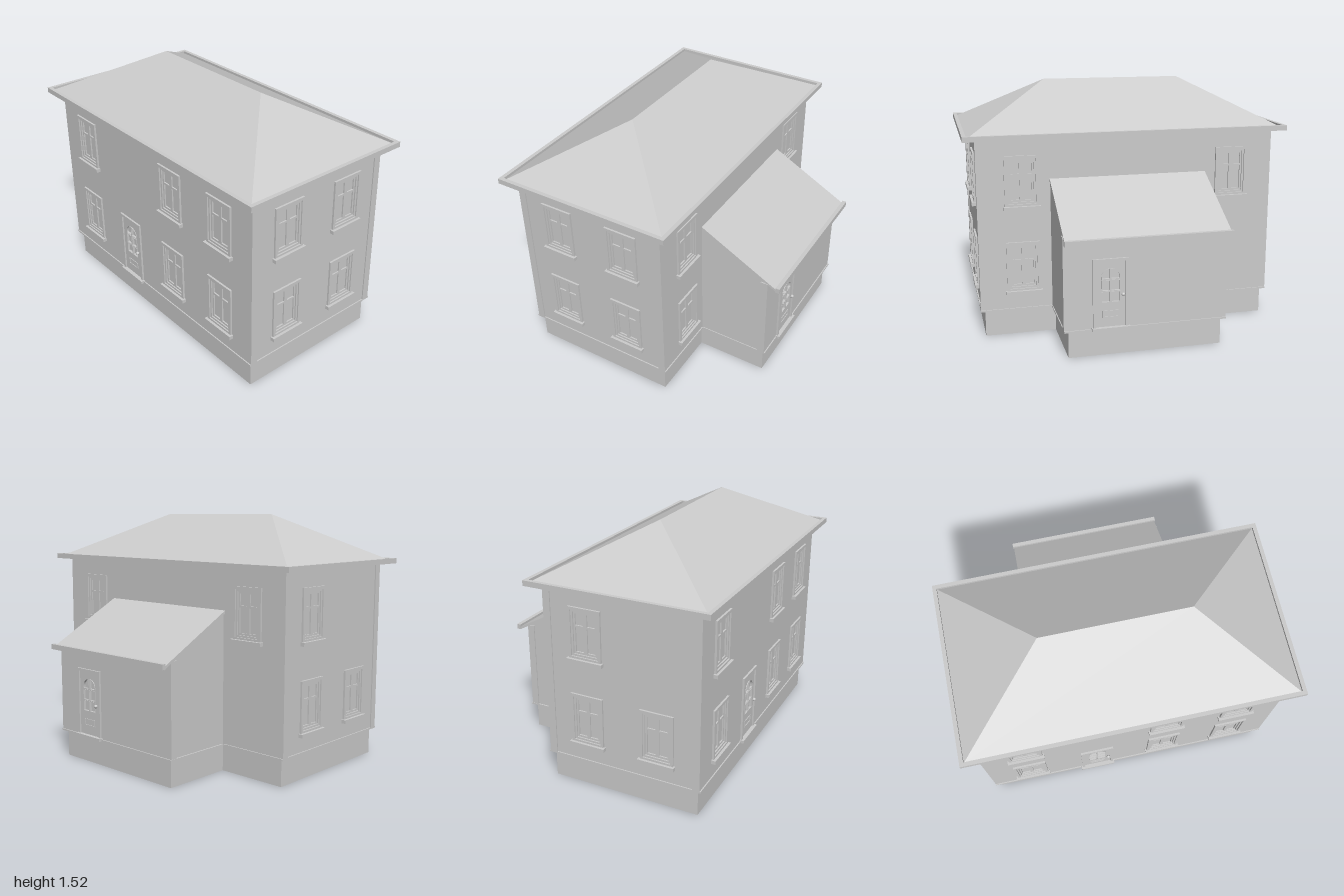
import * as THREE from 'three';

const mat = new THREE.MeshStandardMaterial({ color: 0xcccccc, flatShading: true, side: THREE.DoubleSide });

function add(parent, name, geometry, x = 0, y = 0, z = 0) {
  const mesh = new THREE.Mesh(geometry, mat);
  mesh.name = name;
  mesh.position.set(x, y, z);
  parent.add(mesh);
  return mesh;
}

const box = (parent, name, w, h, d, x, y, z) => add(parent, name, new THREE.BoxGeometry(w, h, d), x, y, z);

const rect = (x0, y0, x1, y1) => [[x0, y0], [x1, y0], [x1, y1], [x0, y1]];
const vectors = pts => pts.map(p => new THREE.Vector2(p[0], p[1]));

// Flat panel with holes; its front lies at z and it goes back by depth
function plate(parent, name, outline, holes, depth, z = 0) {
  const shape = new THREE.Shape(vectors(outline));
  holes.forEach(h => shape.holes.push(new THREE.Path(vectors(h))));
  const geometry = new THREE.ExtrudeGeometry(shape, { depth, bevelEnabled: false });
  return add(parent, name, geometry, 0, 0, z - depth);
}

// Group on the vertical plane from a to b (x, z), with local +z facing outwards
function face(parent, name, a, b) {
  const group = new THREE.Group();
  group.name = name;
  group.position.set((a[0] + b[0]) / 2, 0, (a[1] + b[1]) / 2);
  group.rotation.y = Math.atan2(a[1] - b[1], b[0] - a[0]);
  group.userData.width = Math.hypot(b[0] - a[0], b[1] - a[1]);
  parent.add(group);
  return group;
}

// Casing, two sashes with a transom bar, glass and sill
function addWindow(parent, x, y) {
  const g = new THREE.Group();
  g.name = 'window';
  g.position.set(x, y, 0);
  parent.add(g);
  plate(g, 'windowCasing', rect(-0.103, 0, 0.103, 0.305), [rect(-0.086, 0.012, 0.086, 0.288)], 0.045, 0.012);
  plate(g, 'windowFrame', rect(-0.087, 0.01, 0.087, 0.29), [rect(-0.074, 0.024, 0.074, 0.276)], 0.03, 0.004);
  for (const s of [-1, 1]) {
    const c = s * 0.037;
    plate(g, 'sash', rect(c - 0.037, 0.024, c + 0.037, 0.276),
      [rect(c - 0.026, 0.036, c + 0.026, 0.182), rect(c - 0.026, 0.194, c + 0.026, 0.264)], 0.015, -0.004);
  }
  box(g, 'glass', 0.15, 0.255, 0.003, 0, 0.15, -0.014);
  box(g, 'windowSill', 0.225, 0.022, 0.05, 0, -0.012, 0.002);
}

// Casing, leaf with six arched panes, lower panel, knob and step
function addDoor(parent, x) {
  const g = new THREE.Group();
  g.name = 'door';
  g.position.x = x;
  parent.add(g);
  plate(g, 'doorCasing', rect(-0.105, 0.175, 0.105, 0.592), [rect(-0.088, 0.18, 0.088, 0.575)], 0.045, 0.012);
  const panes = [];
  for (const s of [-1, 1]) {
    for (const y of [0.332, 0.401]) panes.push(rect(s * 0.005, y, s * 0.052, y + 0.059));
    const arch = [[s * 0.005, 0.472], [s * 0.052, 0.472]];
    for (let i = 0; i <= 6; i++) {
      const a = i / 6 * Math.PI / 2;
      arch.push([s * (0.005 + 0.047 * Math.cos(a)), 0.485 + 0.045 * Math.sin(a)]);
    }
    panes.push(arch);
  }
  plate(g, 'doorLeaf', rect(-0.09, 0.178, 0.09, 0.577), panes, 0.018, 0.002);
  panes.forEach(p => {
    const cx = Math.sign(p[1][0]) * 0.0285;
    const cy = (Math.min(...p.map(q => q[1])) + Math.max(...p.map(q => q[1]))) / 2;
    const rim = p.map(q => [cx + (q[0] - cx) * 1.14, cy + (q[1] - cy) * 1.12]);
    plate(g, 'paneRim', rim, [p], 0.006, 0.006);
  });
  box(g, 'doorGlass', 0.13, 0.22, 0.003, 0, 0.43, -0.01);
  plate(g, 'lowerPanel', rect(-0.048, 0.238, 0.048, 0.28), [rect(-0.043, 0.243, 0.043, 0.275)], 0.006, 0.006);
  add(g, 'doorKnob', new THREE.SphereGeometry(0.011, 12, 8), 0.072, 0.375, 0.014);
  box(g, 'doorStep', 0.225, 0.018, 0.05, 0, 0.173, 0.002);
}

// Wall with openings cut for its windows and door
function wall(parent, name, a, b, outline, { windows = [], door = null, opening = null, corners = [] } = {}) {
  const f = face(parent, name, a, b);
  const holes = windows.map(([x, y]) => rect(x - 0.09, y + 0.005, x + 0.09, y + 0.295));
  if (door !== null) holes.push(rect(door - 0.092, 0.177, door + 0.092, 0.58));
  if (opening) holes.push(opening);
  plate(f, name + 'Panel', outline, holes, 0.025);
  windows.forEach(([x, y]) => addWindow(f, x, y));
  if (door !== null) addDoor(f, door);
  // Corner boards, given as x and top height
  corners.forEach(([x, top]) => box(f, 'cornerBoard', 0.045, top - 0.168, 0.008, x, (top + 0.168) / 2, 0.003));
}

// Hipped roof from its four eave corners and two ridge ends
function hippedRoof(cx, halfX, halfZ, ridgeZ, y0, y1) {
  const A = [cx - halfX, y0, halfZ], B = [cx + halfX, y0, halfZ];
  const C = [cx + halfX, y0, -halfZ], D = [cx - halfX, y0, -halfZ];
  const R = [cx, y1, ridgeZ], S = [cx, y1, -ridgeZ];
  const triangles = [A, B, R, B, C, S, B, S, R, C, D, S, D, A, R, D, R, S];
  const geometry = new THREE.BufferGeometry();
  geometry.setAttribute('position', new THREE.Float32BufferAttribute(triangles.flat(), 3));
  geometry.computeVertexNormals();
  return geometry;
}

export function createModel() {
  const house = new THREE.Group();
  house.name = 'house';

  // Plinth and the drip strip above it, following the T-shaped plan
  const plan = o => [[-0.685 - o, 0.9 + o], [0.24 + o, 0.9 + o], [0.24 + o, 0.465 + o], [0.68 + o, 0.465 + o],
    [0.68 + o, -0.46 - o], [0.24 + o, -0.46 - o], [0.24 + o, -0.9 - o], [-0.685 - o, -0.9 - o]];
  const ring = (name, pts, y0, y1, depth) => pts.forEach((p, i) => {
    const f = face(house, name, p, pts[(i + 1) % pts.length]);
    const h = f.userData.width / 2;
    plate(f, name + 'Side', rect(-h, y0, h, y1), [], depth);
  });
  ring('plinth', plan(0), 0, 0.172, 0.008);
  ring('dripStrip', plan(0.027), 0.164, 0.174, 0.03);

  // Main walls
  const low = 0.288, high = 0.817, top = 1.235;
  const L = -0.705, R = 0.26, Z = 0.92, hx = (R - L) / 2;
  const ends = rect(-hx, 0.168, hx, top), sides = rect(-Z, 0.168, Z, top);
  const corners = [[-hx + 0.0225, top], [hx - 0.0225, top]];
  wall(house, 'frontWall', [L, Z], [R, Z], ends,
    { windows: [[-0.22, low], [0.22, low], [-0.22, high], [0.22, high]], corners });
  wall(house, 'backWall', [R, -Z], [L, -Z], ends,
    { windows: [[-0.22, low], [0.22, low], [-0.22, high]], corners });
  wall(house, 'rightWall', [R, Z], [R, -Z], sides,
    { windows: [[-0.66, low], [-0.66, high], [0.66, high]], opening: rect(-0.46, 0.169, 0.45, 0.93) });
  wall(house, 'leftWall', [L, -Z], [L, Z], sides, {
    windows: [[-0.66, low], [0.22, low], [0.66, low], [-0.66, high], [0.22, high], [0.66, high]], door: -0.22,
  });

  // Side extension
  const E = 0.7, zf = 0.487, zb = -0.478, ew = (E - R) / 2, ez = (zf - zb) / 2;
  wall(house, 'extensionFront', [R, zf], [E, zf],
    [[-ew, 0.168], [ew, 0.168], [ew, 0.722], [-ew, 0.957]], { corners: [[ew - 0.0225, 0.73]] });
  wall(house, 'extensionBack', [E, zb], [R, zb],
    [[-ew, 0.168], [ew, 0.168], [ew, 0.957], [-ew, 0.722]], { corners: [[-ew + 0.0225, 0.73]] });
  wall(house, 'extensionSide', [E, zf], [E, zb], rect(-ez, 0.168, ez, 0.722), { door: -0.215 });
  plate(house, 'extensionRoof', [[0.25, 0.962], [0.757, 0.692], [0.757, 0.709], [0.25, 0.979]], [], 0.98, 0.49);
  box(house, 'extensionGutter', 0.025, 0.032, 0.99, 0.763, 0.711, 0);

  // Main roof with gutter and soffit
  const cx = -0.2225;
  add(house, 'mainRoof', hippedRoof(cx, 0.533, 0.975, 0.443, 1.238, 1.525));
  const flatRing = (name, ox, oz, ix, iz, y, h) => {
    const m = plate(house, name, rect(cx - ox, -oz, cx + ox, oz), [rect(cx - ix, -iz, cx + ix, iz)], h);
    m.rotation.x = -Math.PI / 2;
    m.position.set(0, y, 0);
  };
  flatRing('gutter', 0.556, 1, 0.532, 0.976, 1.222, 0.032);
  flatRing('soffit', 0.535, 0.98, hx - 0.01, Z - 0.01, 1.226, 0.01);
  return house;
}
